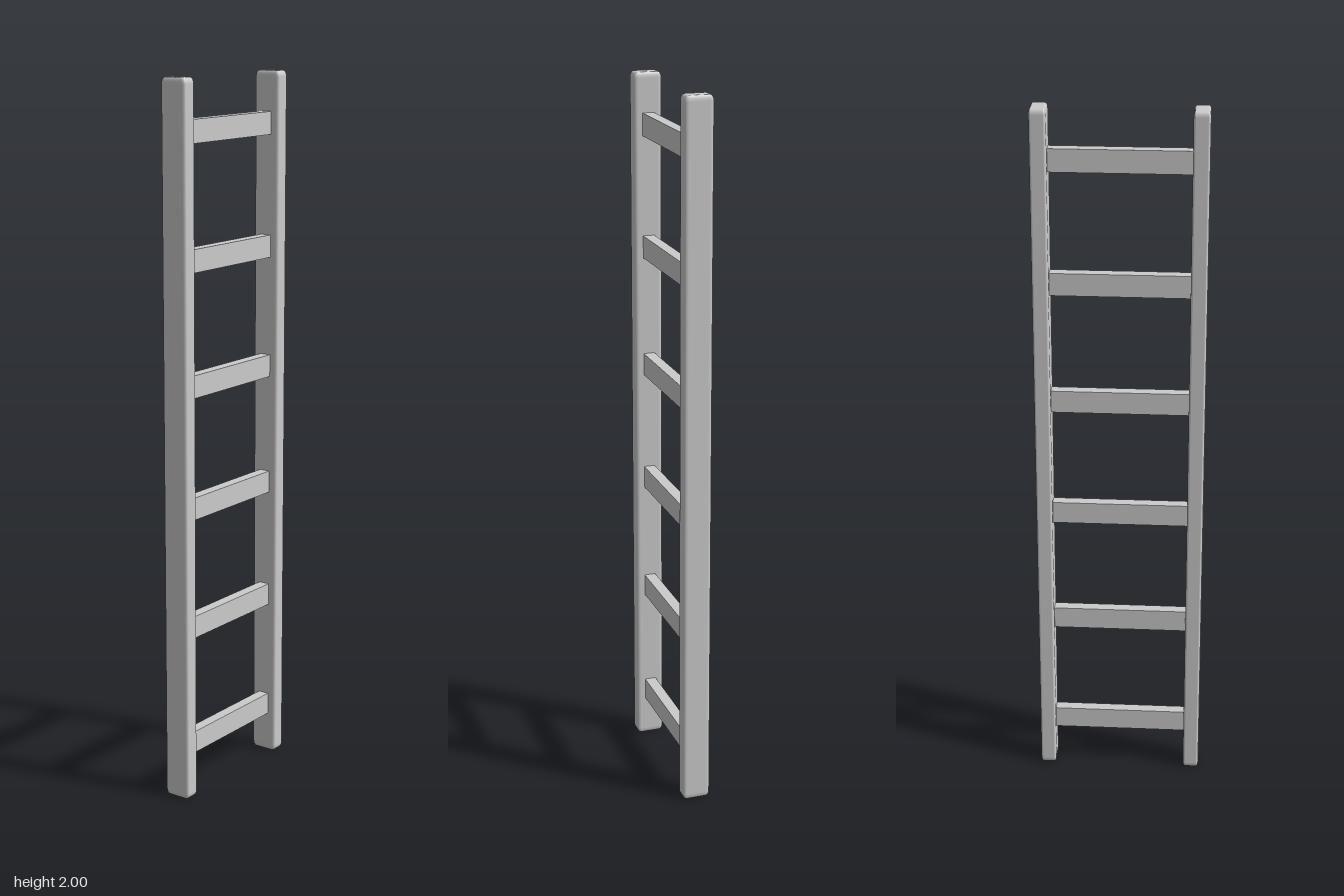
import * as THREE from 'three';
import { RoundedBoxGeometry } from 'three/addons/geometries/RoundedBoxGeometry.js';

const RAIL = { width: 0.045, height: 2, depth: 0.078, x: 0.2125 };
const RUNG = { length: 0.39, height: 0.063, depth: 0.032, count: 6, first: 0.148, step: 0.342 };

// Box whose rounding is stretched: tighter across x, longer along y
function softBox(w, h, d, radius, sx, sy) {
  return new RoundedBoxGeometry(w / sx, h / sy, d, 3, radius).scale(sx, sy, 1);
}

export function createModel() {
  const ladder = new THREE.Group();
  ladder.name = 'ladder';
  const material = new THREE.MeshStandardMaterial({ color: 0xcccccc });

  // Two upright side rails with softened edges and ends
  const railGeometry = softBox(RAIL.width, RAIL.height, RAIL.depth, 0.011, 0.6, 1.5);
  for (const [name, side] of [['leftRail', 1], ['rightRail', -1]]) {
    const rail = new THREE.Mesh(railGeometry, material);
    rail.name = name;
    rail.position.set(side * RAIL.x, RAIL.height / 2, 0);
    ladder.add(rail);
  }

  // Evenly spaced rungs, their ends set slightly into the rails
  const rungGeometry = new THREE.BoxGeometry(RUNG.length, RUNG.height, RUNG.depth);
  for (let i = 0; i < RUNG.count; i++) {
    const rung = new THREE.Mesh(rungGeometry, material);
    rung.name = `rung${i + 1}`;
    rung.position.y = RUNG.first + i * RUNG.step;
    ladder.add(rung);
  }
  return ladder;
}
